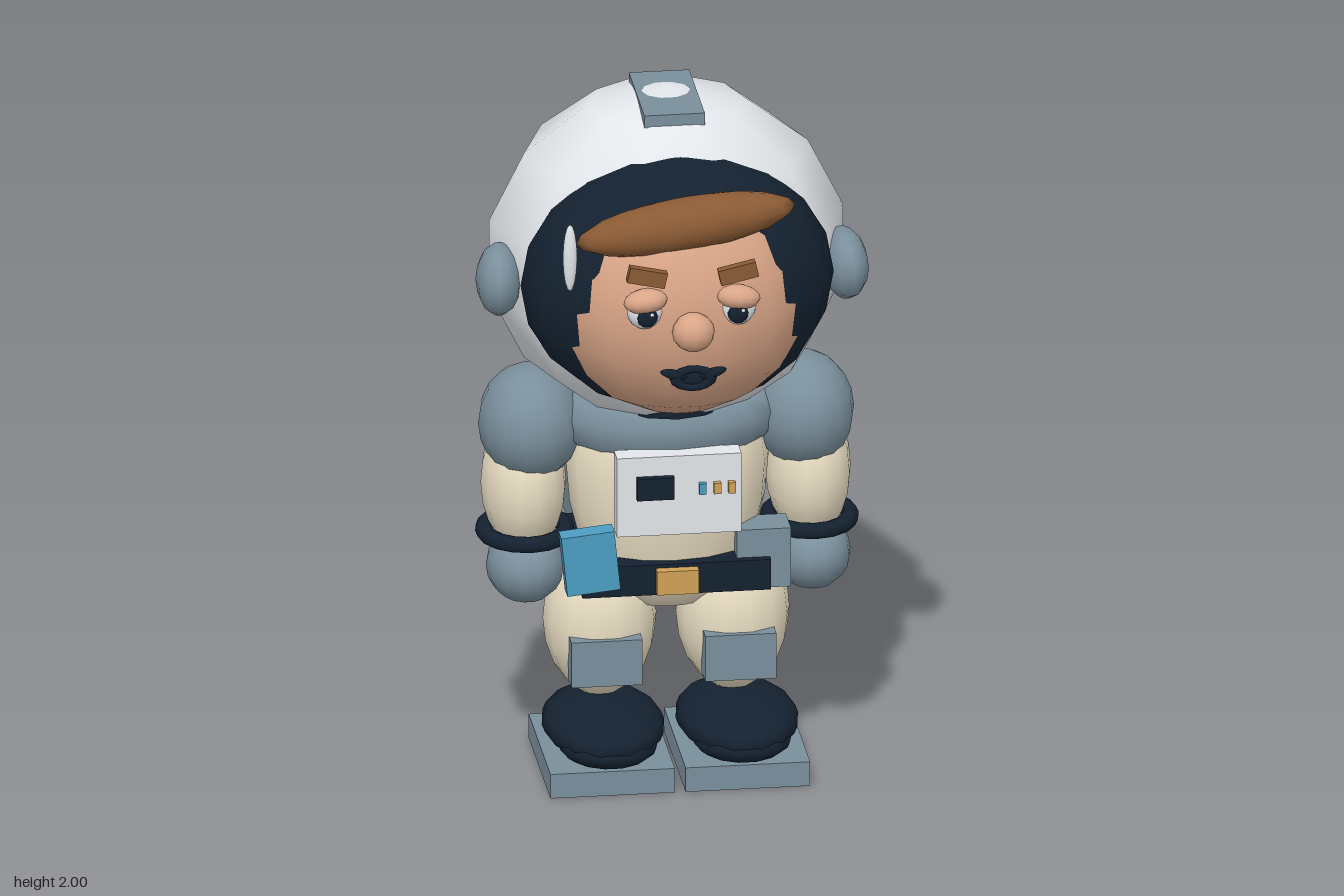
import * as THREE from 'three';

const mat = (color) => new THREE.MeshStandardMaterial({ color });
const WHITE = mat(0xe2e6ea), STEEL = mat(0x7a8f9c), CREAM = mat(0xeadfc4), DARK = mat(0x142130);
const SKIN = mat(0xd9a587), BROWN = mat(0x8a5a34), BLUE = mat(0x4c9dc2), GOLD = mat(0xd0a056);

export function createModel() {
  const root = new THREE.Group();
  root.name = 'astronaut';

  const add = (name, geometry, material, pos, rot = [0, 0, 0]) => {
    const mesh = new THREE.Mesh(geometry, material);
    mesh.name = name;
    mesh.position.set(...pos);
    mesh.rotation.set(...rot);
    root.add(mesh);
    return mesh;
  };
  const ball = (name, material, pos, radii, rot, w = 14, h = 10) =>
    add(name, new THREE.SphereGeometry(1, w, h).scale(...radii), material, pos, rot);
  const box = (name, material, pos, size, rot) =>
    add(name, new THREE.BoxGeometry(...size), material, pos, rot);

  // Helmet with dark visor rim, face and top plate
  ball('helmet', WHITE, [0, 1.51, -0.08], [0.51, 0.49, 0.455], [0, 0, 0], 10, 7);
  ball('visorRim', DARK, [0, 1.515, 0.16], [0.44, 0.375, 0.29]);
  ball('face', SKIN, [0, 1.5, 0.2], [0.37, 0.355, 0.3]);
  box('helmetTopPlate', STEEL, [0, 1.967, -0.058], [0.17, 0.036, 0.33]);
  ball('antenna', WHITE, [-0.33, 1.68, 0.38], [0.02, 0.1, 0.015], [0, 0, 0], 10, 8);

  // Hair and facial features
  ball('hair', BROWN, [-0.005, 1.765, 0.38], [0.31, 0.075, 0.08], [0, 0, 0.14]);
  ball('nose', SKIN, [0, 1.49, 0.505], [0.06, 0.056, 0.055], [0, 0, 0], 12, 8);
  add('mouth', new THREE.TorusGeometry(0.035, 0.013, 8, 14).scale(1.4, 0.8, 1), DARK, [0, 1.352, 0.505]);
  ball('mouthOpening', DARK, [0, 1.352, 0.495], [0.05, 0.03, 0.015], [0, 0, 0], 12, 8);
  for (const s of [-1, 1]) {
    ball('moustacheWing', DARK, [s * 0.055, 1.366, 0.505], [0.04, 0.014, 0.014], [0, 0, s * 0.25], 10, 6);
    box('eyebrow', BROWN, [s * 0.128, 1.655, 0.486], [0.108, 0.045, 0.028], [0, 0, s * 0.22]);
    ball('eye', WHITE, [s * 0.13, 1.545, 0.467], [0.052, 0.052, 0.035], [0, 0, 0], 12, 8);
    ball('eyelid', SKIN, [s * 0.13, 1.578, 0.475], [0.063, 0.034, 0.043], [0, 0, -s * 0.12], 12, 8);
    ball('pupil', DARK, [s * 0.128, 1.537, 0.492], [0.03, 0.032, 0.018], [0, 0, 0], 10, 8);
    ball('eyeGlint', WHITE, [s * 0.128 + 0.012, 1.548, 0.508], [0.006, 0.006, 0.005], [0, 0, 0], 6, 4);
    ball('earpiece', STEEL, [s * 0.485, 1.49, 0.038], [0.065, 0.1, 0.12], [0, s * 0.12, 0], 12, 8);
  }

  // Torso, shoulder yoke and neck ring
  const lathe = (pts, depth) =>
    new THREE.LatheGeometry(pts.map((p) => new THREE.Vector2(...p)), 16).scale(1, 1, depth);
  add('torso', lathe([[0, 0.47], [0.11, 0.48], [0.19, 0.54], [0.24, 0.64], [0.275, 0.78],
    [0.285, 0.9], [0.27, 1.02], [0.2, 1.09], [0, 1.1]], 0.72), CREAM, [0, 0, -0.05]);
  add('shoulderYoke', lathe([[0, 0.94], [0.25, 0.94], [0.3, 0.99], [0.31, 1.05], [0.28, 1.1], [0, 1.1]], 0.72),
    STEEL, [0, 0, -0.06]);
  add('neckRing', new THREE.CylinderGeometry(1, 1, 0.05, 16).scale(0.2, 1, 0.25), DARK, [0, 1.12, -0.08]);

  // Chest panel
  box('chestPanel', WHITE, [0, 0.882, 0.172], [0.35, 0.235, 0.065]);
  box('panelScreen', DARK, [-0.068, 0.91, 0.213], [0.105, 0.065, 0.025]);
  [BLUE, GOLD, GOLD].forEach((m, i) =>
    box('panelButton', m, [0.065 + i * 0.041, 0.902, 0.21], [0.02, 0.032, 0.022]));

  // Belt, buckle and pouches
  box('belt', DARK, [0, 0.61, -0.057], [0.53, 0.09, 0.42]);
  box('buckle', GOLD, [0, 0.61, 0.165], [0.118, 0.07, 0.035]);
  box('hipPouch', STEEL, [0.248, 0.65, 0.075], [0.152, 0.175, 0.11]);
  box('bluePouch', BLUE, [-0.247, 0.685, 0.168], [0.15, 0.175, 0.06], [0, 0, 0.1]);

  // Limbs, mirrored
  for (const s of [-1, 1]) {
    ball('shoulder', STEEL, [s * 0.383, 1.015, -0.075], [0.145, 0.165, 0.175]);
    ball('arm', CREAM, [s * 0.4, 0.835, -0.085], [0.12, 0.205, 0.155]);
    add('cuff', new THREE.TorusGeometry(0.115, 0.024, 8, 16).rotateX(Math.PI / 2).scale(1, 1, 1.1),
      DARK, [s * 0.4, 0.7, -0.057]);
    ball('hand', STEEL, [s * 0.402, 0.605, -0.03], [0.11, 0.105, 0.135]);
    ball('leg', CREAM, [s * 0.187, 0.425, -0.075], [0.16, 0.235, 0.158]);
    box('kneePad', STEEL, [s * 0.188, 0.342, 0.055], [0.2, 0.135, 0.08]);
    ball('boot', DARK, [s * 0.188, 0.135, 0.005], [0.172, 0.073, 0.26]);
    ball('bootToe', DARK, [s * 0.188, 0.115, 0.115], [0.14, 0.056, 0.15]);
    box('sole', STEEL, [s * 0.19, 0.036, -0.003], [0.35, 0.072, 0.46]);
  }

  // Backpack with twin tanks and valves
  box('backpack', STEEL, [0, 0.835, -0.355], [0.475, 0.48, 0.22]);
  for (const s of [-1, 1]) {
    ball('tank', WHITE, [s * 0.143, 0.868, -0.46], [0.083, 0.193, 0.1]);
    box('valve', STEEL, [s * 0.14, 0.835, -0.548], [0.045, 0.065, 0.034]);
    box('valveHandle', STEEL, [s * 0.138, 0.825, -0.551], [0.137, 0.025, 0.025]);
  }
  return root;
}
